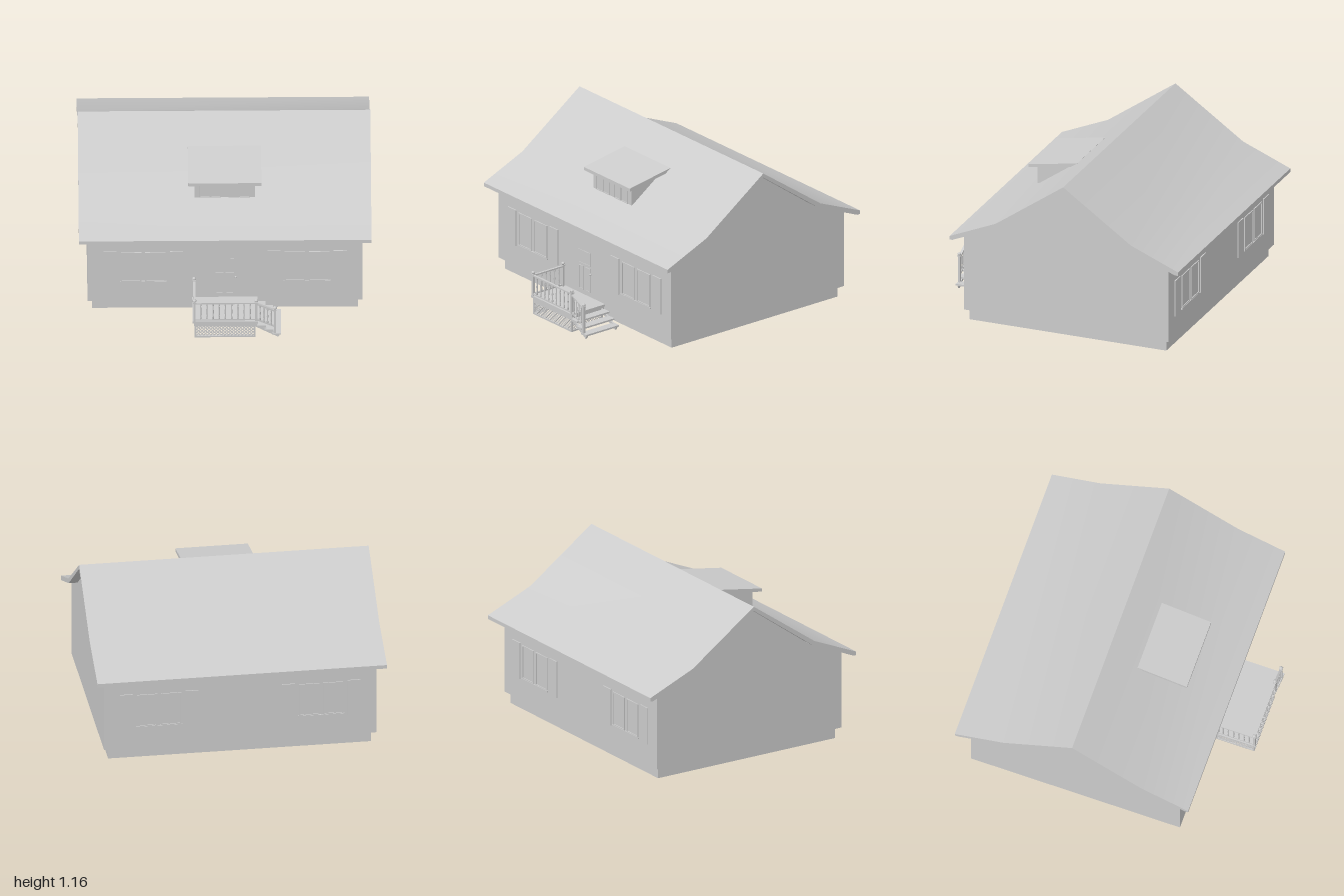
import * as THREE from 'three';
import { toCreasedNormals } from 'three/addons/utils/BufferGeometryUtils.js';

const material = new THREE.MeshStandardMaterial({ color: 0xcccccc });

function add(parent, name, geometry) {
  const mesh = new THREE.Mesh(geometry, material);
  mesh.name = name;
  parent.add(mesh);
  return mesh;
}

function group(parent, name) {
  const g = new THREE.Group();
  g.name = name;
  parent.add(g);
  return g;
}

// Box given by its limits on each axis
function box(parent, name, x0, x1, y0, y1, z0, z1) {
  const mesh = add(parent, name, new THREE.BoxGeometry(x1 - x0, y1 - y0, z1 - z0));
  mesh.position.set((x0 + x1) / 2, (y0 + y1) / 2, (z0 + z1) / 2);
  return mesh;
}

// Extrudes a [z, y] outline along x, centred
function extrudeX(parent, name, outline, x0, x1) {
  const shape = new THREE.Shape(outline.map(([z, y]) => new THREE.Vector2(-z, y)));
  let g = new THREE.ExtrudeGeometry(shape, { depth: x1 - x0, bevelEnabled: false });
  g.rotateY(Math.PI / 2).translate(x0, 0, 0);
  g = toCreasedNormals(g, 0.5);
  return add(parent, name, g);
}

// Square bar between two points
function bar(parent, name, a, b, w, h) {
  const p = new THREE.Vector3(...a), q = new THREE.Vector3(...b);
  const mesh = add(parent, name, new THREE.BoxGeometry(w, h, p.distanceTo(q)));
  mesh.position.copy(p).add(q).multiplyScalar(0.5);
  mesh.lookAt(q);
  return mesh;
}

// Flat rectangular frame with a pane, standing on the plane z = 0
function framed(parent, name, x0, x1, y0, y1, w = 0.008, d = 0.007) {
  const rect = (P, m) => {
    const p = new P();
    p.moveTo(x0 + m, y0 + m).lineTo(x1 - m, y0 + m).lineTo(x1 - m, y1 - m).lineTo(x0 + m, y1 - m).closePath();
    return p;
  };
  const shape = rect(THREE.Shape, 0);
  shape.holes.push(rect(THREE.Path, w));
  add(parent, name + 'Frame', new THREE.ExtrudeGeometry(shape, { depth: d, bevelEnabled: false }));
  box(parent, name + 'Panel', x0 + w, x1 - w, y0 + w, y1 - w, -0.005, 0.001);
}

// Double window with shutters
function shutteredWindow(parent, x, z, back) {
  const g = group(parent, 'shutteredWindow');
  g.position.set(x, 0, z);
  if (back) g.rotation.y = Math.PI;
  for (const s of [-1, 1]) {
    framed(g, 'sash', s * 0.083 - 0.07, s * 0.083 + 0.07, 0.275, 0.515);
    box(g, 'shutter', s * 0.227 - 0.045, s * 0.227 + 0.045, 0.26, 0.523, -0.004, 0.008);
  }
  box(g, 'sill', -0.16, 0.16, 0.265, 0.276, -0.004, 0.01);
}

// Turned spindle, standing on y = 0
function spindle(h, r) {
  return new THREE.LatheGeometry([
    [0, 0], [r, 0], [r, 0.15], [0.6 * r, 0.2], [r, 0.45], [0.6 * r, 0.8], [r, 0.85], [r, 1], [0, 1],
  ].map(([x, y]) => new THREE.Vector2(x, y * h)), 8);
}

// Post with ball finial
function newel(parent, x, z, y0, y1) {
  box(parent, 'newelPost', x - 0.008, x + 0.008, y0, y1 - 0.025, z - 0.008, z + 0.008);
  box(parent, 'newelCap', x - 0.012, x + 0.012, y1 - 0.027, y1 - 0.02, z - 0.012, z + 0.012);
  add(parent, 'newelBall', new THREE.SphereGeometry(0.013, 12, 8).scale(1, 0.85, 1)).position.set(x, y1 - 0.011, z);
}

// Railing between two points, with spindles between bottom and top rails
function railing(parent, a, b, bottom, top, count) {
  const g = group(parent, 'railing');
  const at = (p, h) => [p[0], p[1] + h, p[2]];
  bar(g, 'topRail', at(a, top), at(b, top), 0.016, 0.01);
  bar(g, 'bottomRail', at(a, bottom), at(b, bottom), 0.012, 0.01);
  for (let i = 1; i <= count; i++) {
    const p = new THREE.Vector3(...a).lerp(new THREE.Vector3(...b), i / (count + 1));
    add(g, 'baluster', spindle(top - bottom, 0.0055)).position.set(p.x, p.y + bottom, p.z);
  }
}

// Crossed diagonal slats filling a rectangle of length L and height H
function lattice(parent, L, H) {
  const g = group(parent, 'lattice');
  for (let c = -H + 0.012; c < L; c += 0.024) {
    const u0 = Math.max(c, 0), u1 = Math.min(c + H, L);
    if (u1 - u0 < 0.004) continue;
    bar(g, 'slat', [u0, u0 - c, 0.002], [u1, u1 - c, 0.002], 0.003, 0.006);
    bar(g, 'slat', [u0, H - u0 + c, -0.002], [u1, H - u1 + c, -0.002], 0.003, 0.006);
  }
  box(g, 'latticeBottomTrim', 0, L, -0.01, 0.002, -0.006, 0.006);
  box(g, 'latticeTopTrim', 0, L, H - 0.002, H + 0.008, -0.006, 0.006);
  for (const u of [0, L]) box(g, 'latticeEndTrim', u - 0.006, u + 0.006, -0.01, H + 0.008, -0.006, 0.006);
  return g;
}

export function createModel() {
  const model = new THREE.Group();
  model.name = 'house';

  // Foundation and gabled walls
  box(model, 'foundation', -0.908, 0.908, 0.03, 0.115, -0.83, 0.625);
  extrudeX(model, 'walls', [
    [0.655, 0.11], [0.655, 0.66], [0.38, 0.778], [-0.105, 1.127],
    [-0.59, 0.778], [-0.86, 0.66], [-0.86, 0.11],
  ], -0.94, 0.94);

  // Main roof with flared eaves
  extrudeX(model, 'roof', [
    [0.735, 0.638], [0.735, 0.664], [0.395, 0.808], [-0.105, 1.158], [-0.605, 0.808], [-0.955, 0.664],
    [-0.955, 0.638], [-0.93, 0.638], [-0.59, 0.78], [-0.105, 1.128], [0.38, 0.78], [0.715, 0.638],
  ], -1, 1);

  // Dormer
  const dormer = group(model, 'dormer');
  extrudeX(dormer, 'dormerWalls', [[0.413, 0.782], [0.413, 0.94], [0.1, 0.995], [0.1, 0.985]], -0.207, 0.207);
  extrudeX(dormer, 'dormerRoof', [[0.462, 0.928], [0.462, 0.951], [0.105, 1.012], [0.105, 0.988]], -0.25, 0.25);
  const dormerWindows = group(dormer, 'dormerWindows');
  dormerWindows.position.z = 0.413;
  for (const x of [-0.135, -0.062, 0.062, 0.135])
    framed(dormerWindows, 'dormerSash', x - 0.036, x + 0.036, 0.802, 0.91, 0.006, 0.006);

  // Windows on the front and back walls
  for (const x of [-0.56, 0.56]) {
    shutteredWindow(model, x, 0.655, false);
    shutteredWindow(model, x, -0.86, true);
  }

  // Front door
  const door = group(model, 'door');
  door.position.z = 0.655;
  framed(door, 'doorLight', -0.065, 0.06, 0.363, 0.46, 0.005, 0.004);
  framed(door, 'doorLowerLeft', -0.065, -0.01, 0.17, 0.345, 0.007, 0.004);
  framed(door, 'doorLowerRight', 0.003, 0.06, 0.17, 0.345, 0.007, 0.004);
  add(door, 'doorKnob', new THREE.SphereGeometry(0.008, 12, 8)).position.set(0.073, 0.31, 0.01);

  // Porch deck and lattice skirt
  const porch = group(model, 'porch');
  box(porch, 'deck', -0.225, 0.222, 0.122, 0.138, 0.655, 0.948);
  box(porch, 'deckRim', -0.215, 0.21, 0.095, 0.122, 0.925, 0.938);
  for (const x of [-0.215, 0.197]) box(porch, 'deckSideRim', x, x + 0.013, 0.095, 0.122, 0.655, 0.938);
  lattice(porch, 0.405, 0.082).position.set(-0.205, 0.01, 0.932);
  for (const x of [-0.205, 0.2]) {
    const side = lattice(porch, 0.265, 0.082);
    side.rotation.y = Math.PI / 2;
    side.position.set(x, 0.01, 0.932);
  }

  // Porch railings
  newel(porch, -0.212, 0.938, 0.138, 0.317);
  newel(porch, 0.21, 0.938, 0.138, 0.317);
  newel(porch, -0.212, 0.675, 0.138, 0.317);
  railing(porch, [-0.212, 0, 0.938], [0.21, 0, 0.938], 0.15, 0.286, 9);
  railing(porch, [-0.212, 0, 0.675], [-0.212, 0, 0.938], 0.15, 0.286, 6);

  // Side stairs with open treads, stringers and a sloping rail
  const stairs = group(porch, 'stairs');
  for (let i = 0; i < 3; i++) {
    const x = 0.215 + i * 0.052;
    box(stairs, 'tread', x, x + 0.061, 0.091 - i * 0.033, 0.103 - i * 0.033, 0.66, 0.948);
  }
  for (const z of [0.675, 0.932])
    bar(stairs, 'stringer', [0.205, 0.1, z], [0.365, 0.01, z], 0.012, 0.022);
  newel(stairs, 0.338, 0.938, 0.035, 0.255);
  railing(stairs, [0.21, 0, 0.938], [0.338, -0.06, 0.938], 0.15, 0.28, 4);

  return model;
}
